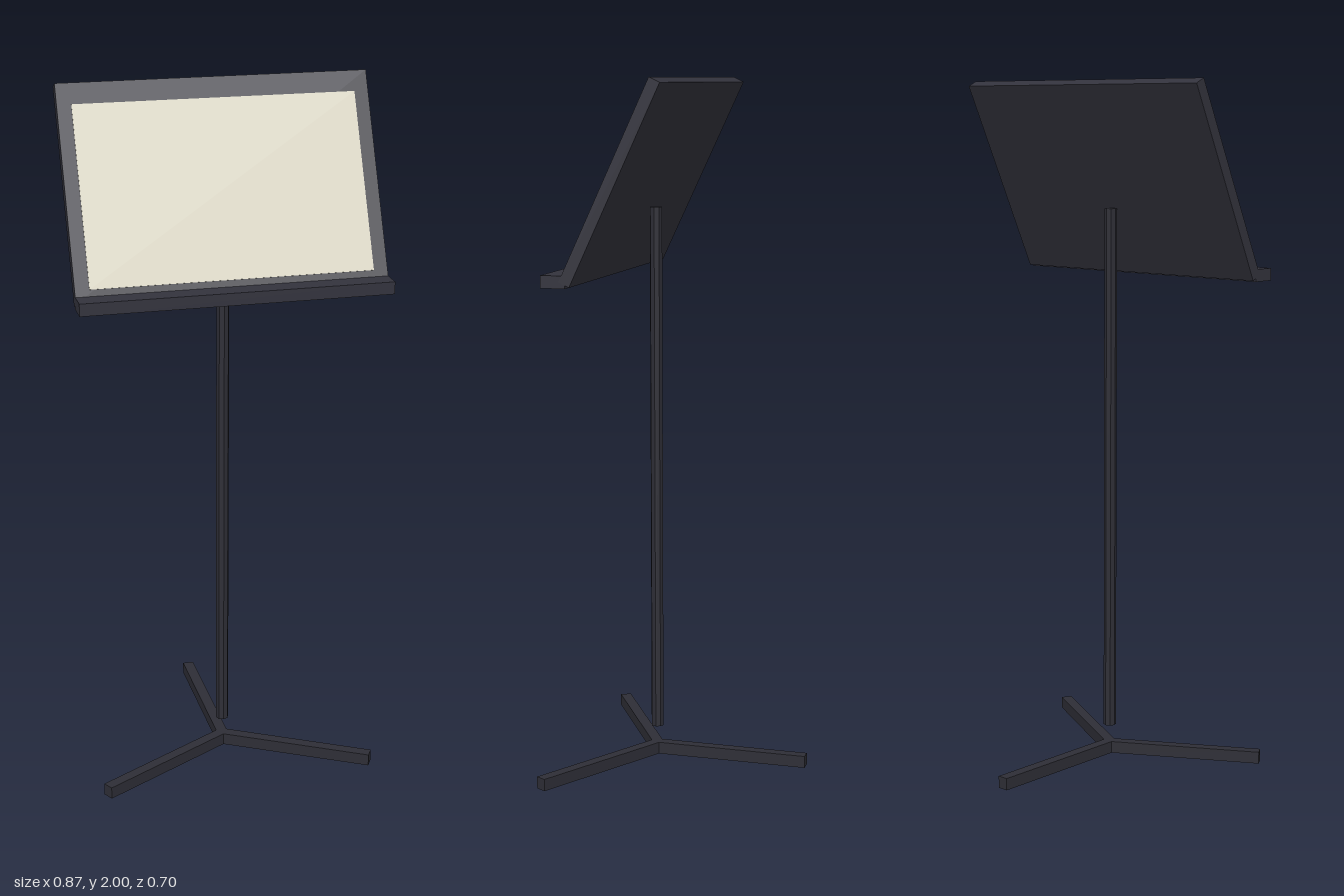
import * as THREE from 'three';

export function createModel() {
  const model = new THREE.Group();
  const frameMat = new THREE.MeshStandardMaterial({ color: 0x33333d });
  frameMat.name = 'dark frame';
  const poleMat = new THREE.MeshStandardMaterial({ color: 0x2e2e36 });
  poleMat.name = 'dark metal';
  poleMat.flatShading = true;
  const paperMat = new THREE.MeshStandardMaterial({ color: 0xd6d2bf });
  paperMat.name = 'paper';

  const add = (parent, name, geometry, material, x, y, z) => {
    const mesh = new THREE.Mesh(geometry, material);
    mesh.name = name;
    mesh.position.set(x, y, z);
    parent.add(mesh);
    return mesh;
  };

  const poleZ = 0.107;

  // Three flat legs fanning out from beneath the pole
  const legLength = 0.456;
  for (let i = 0; i < 3; i++) {
    const leg = new THREE.Group();
    leg.name = 'leg';
    leg.position.set(0, 0, poleZ);
    leg.rotation.y = Math.PI + (i * Math.PI * 2) / 3;
    add(leg, 'legBar', new THREE.BoxGeometry(0.032, 0.035, legLength), poleMat, 0, 0.0175, legLength / 2);
    model.add(leg);
  }

  // Upright pole, floating just above the legs
  add(model, 'pole', new THREE.CylinderGeometry(0.0185, 0.0185, 1.55, 8), poleMat, 0, 0.86, poleZ);

  // Tilted desk with the sheet lying on its front face
  const desk = new THREE.Group();
  desk.name = 'desk';
  desk.position.set(0, 1.722, 0.105);
  desk.rotation.x = -0.441;
  add(desk, 'deskPanel', new THREE.BoxGeometry(0.874, 0.6, 0.033), frameMat, 0, 0, 0);
  add(desk, 'sheet', new THREE.BoxGeometry(0.794, 0.503, 0.004), paperMat, 0, -0.011, 0.0165);
  model.add(desk);

  // Level ledge along the lower edge of the desk
  add(model, 'ledge', new THREE.BoxGeometry(0.874, 0.035, 0.07), frameMat, 0, 1.4575, 0.265);

  return model;
}
